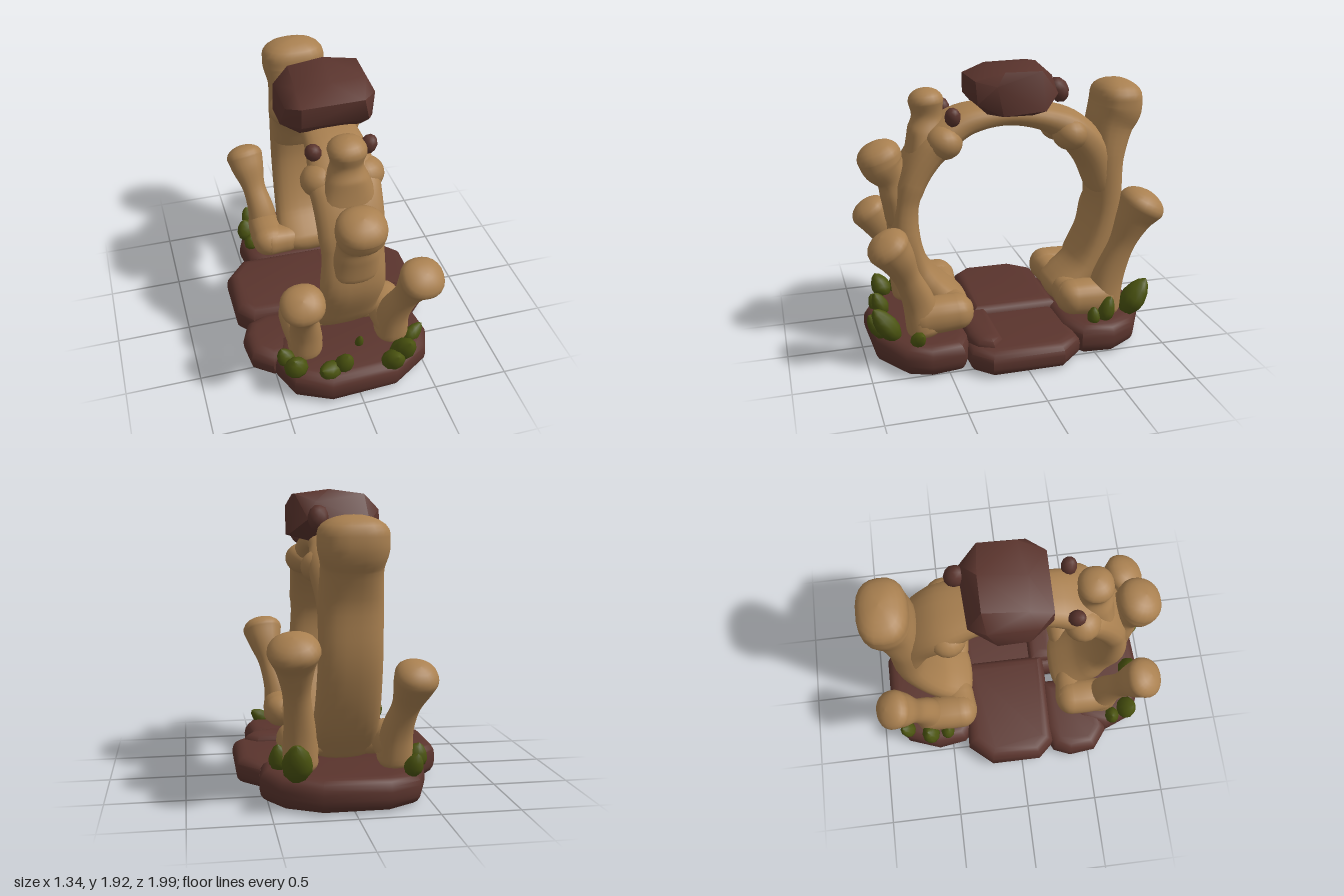
import * as THREE from 'three';
import { toCreasedNormals } from 'three/addons/utils/BufferGeometryUtils.js';
import { ConvexGeometry } from 'three/addons/geometries/ConvexGeometry.js';

const mat = (name, color) => Object.assign(new THREE.MeshStandardMaterial({ color }), { name });

// Sweep a rounded cross-section along stations [x, y, z, halfWidth, halfDepth], with domed ends.
function boneGeometry(stations, { ref = [1, 0, 0], square = 0.9, dome = 0.6, steps = 18, sides = 22 } = {}) {
  const path = new THREE.CatmullRomCurve3(stations.map(s => new THREE.Vector3(s[0], s[1], s[2])));
  const size = new THREE.CatmullRomCurve3(stations.map(s => new THREE.Vector3(s[3], s[4], 0)));
  const rings = [];
  const addRing = (t, offset, scale) => rings.push({ t, offset, scale });
  const capSteps = 6;
  for (let k = 0; k < capSteps; k++) {
    const a = (k / capSteps) * Math.PI / 2;
    addRing(0, -Math.cos(a), Math.sin(a));
  }
  for (let i = 0; i <= steps; i++) addRing(i / steps, 0, 1);
  for (let k = capSteps - 1; k >= 0; k--) {
    const a = (k / capSteps) * Math.PI / 2;
    addRing(1, Math.cos(a), Math.sin(a));
  }
  const pos = [], index = [], side = new THREE.Vector3(...ref);
  const soft = v => Math.sign(v) * Math.pow(Math.abs(v), square);
  for (const { t, offset, scale } of rings) {
    const c = path.getPoint(t), r = size.getPoint(t), tan = path.getTangent(t);
    const u = side.clone().addScaledVector(tan, -side.dot(tan)).normalize();
    const v = tan.clone().cross(u);
    c.addScaledVector(tan, offset * dome * (r.x + r.y) / 2);
    for (let j = 0; j < sides; j++) {
      const a = (j / sides) * Math.PI * 2;
      const p = c.clone().addScaledVector(u, soft(Math.cos(a)) * r.x * scale)
        .addScaledVector(v, soft(Math.sin(a)) * r.y * scale);
      pos.push(p.x, p.y, p.z);
    }
  }
  for (let i = 0; i < rings.length - 1; i++) {
    for (let j = 0; j < sides; j++) {
      const a = i * sides + j, b = i * sides + (j + 1) % sides;
      index.push(a, b, b + sides, a, b + sides, a + sides);
    }
  }
  const g = new THREE.BufferGeometry();
  g.setAttribute('position', new THREE.Float32BufferAttribute(pos, 3));
  g.setIndex(index);
  g.computeVertexNormals();
  return g;
}

// Rounded paving stone from an outline of [x, z] corners.
function slabGeometry(outline, bottom, top) {
  const shape = new THREE.Shape(outline.map(([x, z]) => new THREE.Vector2(x, -z)));
  const bevel = (top - bottom) * 0.4;
  const g = new THREE.ExtrudeGeometry(shape, {
    depth: top - bottom - 2 * bevel, bevelThickness: bevel, bevelSize: 0.08,
    bevelOffset: -0.08, bevelSegments: 4, steps: 1,
  });
  g.rotateX(-Math.PI / 2);
  g.translate(0, bottom + bevel, 0);
  return toCreasedNormals(g, 0.75);
}

export function createModel() {
  const bone = mat('bone', 0xa98050);
  const rock = mat('rock', 0x5a342d);
  const leaf = mat('leaf', 0x4b5410);
  const model = new THREE.Group();
  model.name = 'boneArch';
  const add = (name, geometry, material) => {
    const m = new THREE.Mesh(geometry, material);
    m.name = name;
    model.add(m);
    return m;
  };

  // Base stones
  const slabs = {
    frontSlab: [[[-0.3, 0.36], [0.38, 0.33], [0.53, 0.4], [0.56, 0.62], [0.5, 0.78], [0.25, 0.94], [-0.2, 0.96], [-0.43, 0.85], [-0.51, 0.65], [-0.45, 0.45]], 0.01, 0.22],
    backSlab: [[[-0.35, -0.3], [0.38, -0.3], [0.53, -0.4], [0.55, -0.62], [0.44, -0.8], [0.2, -0.93], [-0.22, -0.93], [-0.42, -0.82], [-0.5, -0.6], [-0.47, -0.4]], 0.01, 0.22],
    leftSlab: [[[-0.02, -0.36], [0.53, -0.38], [0.67, -0.23], [0.67, 0.25], [0.55, 0.37], [-0.02, 0.38]], 0.01, 0.19],
    rightSlab: [[[0.1, -0.37], [-0.53, -0.38], [-0.67, -0.22], [-0.67, 0.13], [-0.57, 0.24], [0.1, 0.25]], 0.01, 0.245],
    rightFrontSlab: [[[-0.1, 0.2], [-0.48, 0.18], [-0.62, 0.24], [-0.67, 0.36], [-0.65, 0.54], [-0.52, 0.64], [-0.1, 0.6]], 0.01, 0.21],
    smallSlab: [[[0.05, 0.14], [0.5, 0.14], [0.59, 0.22], [0.53, 0.32], [0.4, 0.36], [0.05, 0.36]], 0.08, 0.24],
  };
  for (const [name, [outline, bottom, top]] of Object.entries(slabs)) add(name, slabGeometry(outline, bottom, top), rock);

  // Main arch: front rib, crown running down into the back, and back rib
  const ringPoint = (deg, r, w, d) => {
    const a = deg * Math.PI / 180;
    return [0, 0.91 + r * Math.sin(a), r * Math.cos(a), w, d];
  };
  add('frontRib', boneGeometry([
    ringPoint(-58, 0.72, 0.23, 0.11), ringPoint(-35, 0.7, 0.21, 0.1), ringPoint(-8, 0.695, 0.21, 0.1),
    ringPoint(20, 0.695, 0.21, 0.1), ringPoint(42, 0.7, 0.22, 0.11), ringPoint(53, 0.69, 0.235, 0.105),
  ], { square: 0.75, steps: 30 }), bone);
  add('crown', boneGeometry([
    [0, 1.45, 0.46, 0.22, 0.11], [0, 1.56, 0.27, 0.19, 0.095], [0, 1.59, 0, 0.17, 0.075],
    [0, 1.55, -0.27, 0.19, 0.09], ringPoint(130, 0.715, 0.225, 0.12), ringPoint(150, 0.72, 0.2, 0.125), ringPoint(168, 0.71, 0.19, 0.1),
  ], { square: 0.8, steps: 32 }), bone);
  add('backRib', boneGeometry([
    [0, 0.32, -0.4, 0.23, 0.11], [0, 0.5, -0.57, 0.21, 0.1], [0, 0.88, -0.705, 0.2, 0.105],
    [0, 1.25, -0.71, 0.2, 0.12], [0, 1.47, -0.745, 0.19, 0.15], [0, 1.59, -0.785, 0.215, 0.165], [0, 1.67, -0.79, 0.215, 0.16],
  ], { square: 0.8, steps: 30, dome: 0.58 }), bone);

  // Knobs standing off the front rib
  add('frontHorn', boneGeometry([
    [0, 0.93, 0.715, 0.16, 0.09], [0, 1.08, 0.72, 0.15, 0.11], [0, 1.2, 0.745, 0.125, 0.11],
    [0, 1.3, 0.81, 0.155, 0.14], [0, 1.355, 0.83, 0.155, 0.145],
  ], { steps: 24, dome: 0.65 }), bone);
  add('upperHorn', boneGeometry([
    [0, 1.36, 0.57, 0.18, 0.09], [0, 1.5, 0.52, 0.14, 0.12], [0, 1.61, 0.51, 0.1, 0.1], [0, 1.7, 0.515, 0.12, 0.113],
  ], { steps: 22, dome: 0.7 }), bone);

  // Rounded joint bumps on both flanks of the arch
  for (const s of [-1, 1]) {
    for (const [z, y] of [[0.43, 1.45], [-0.42, 1.45]]) {
      const joint = add('jointBump', new THREE.SphereGeometry(1, 18, 12), bone);
      joint.scale.set(0.13, 0.11, 0.12);
      joint.position.set(s * 0.135, y, z);
    }
  }

  // Leaning side bones with heavy feet: side, end, knob height, knob x, knob z, knob radius
  const legs = [
    ['frontLeftBone', 1, 1, 0.88, 0.4, 0.85, 0.145],
    ['frontRightBone', -1, 1, 0.86, 0.37, 0.86, 0.14],
    ['backLeftBone', 1, -1, 0.99, 0.36, 0.855, 0.16],
    ['backRightBone', -1, -1, 0.82, 0.375, 0.855, 0.135],
  ];
  for (const [name, sx, sz, h, kx, kz, r] of legs) {
    const mix = f => 0.34 + (h - 0.34) * f;
    add(name, boneGeometry([
      [sx * 0.3, 0.27, sz * 0.62, 0.115, 0.12],
      [sx * 0.305, mix(0.2), sz * 0.655, 0.1, 0.105],
      [sx * (0.3 + kx) / 2, mix(0.55), sz * 0.73, 0.085, 0.085],
      [sx * kx * 0.97, mix(0.85), sz * (kz - 0.05), 0.12, 0.115],
      [sx * kx, h, sz * kz, r, r * 0.95],
    ], { steps: 22, dome: 0.65 }), bone);
    add(name + 'Foot', boneGeometry([
      [sx * 0.3, 0.345, sz * 0.4, 0.125, 0.115], [sx * 0.3, 0.34, sz * 0.5, 0.125, 0.12], [sx * 0.3, 0.33, sz * 0.63, 0.115, 0.12],
    ], { dome: 0.9 }), bone);
  }

  // Cross bones joining the feet
  for (const sz of [1, -1]) {
    add(sz > 0 ? 'frontCrossBone' : 'backCrossBone', boneGeometry([
      [-0.3, 0.345, sz * 0.41, 0.12, 0.11], [-0.16, 0.335, sz * 0.41, 0.105, 0.1],
      [0.16, 0.335, sz * 0.41, 0.105, 0.1], [0.3, 0.345, sz * 0.41, 0.12, 0.11],
    ], { ref: [0, 0, 1] }), bone);
  }

  // Boulder resting on the crown
  const boulder = [
    [-0.3, 1.66, 0.08], [-0.3, 1.65, -0.12], [-0.28, 1.8, 0.14], [-0.28, 1.8, -0.18], [-0.2, 1.89, 0.08],
    [-0.18, 1.9, -0.2], [0.05, 1.93, -0.2], [0.02, 1.91, 0.1], [0.26, 1.9, 0.06], [0.27, 1.9, -0.18],
    [0.3, 1.82, 0.12], [0.3, 1.63, 0.08], [0.3, 1.65, -0.2], [0.23, 1.7, 0.23], [-0.2, 1.7, 0.23],
    [-0.2, 1.83, 0.23], [0.2, 1.84, 0.235], [-0.2, 1.72, -0.29], [0.2, 1.74, -0.31], [0.15, 1.85, -0.28],
    [0.18, 1.6, -0.15], [-0.18, 1.61, -0.15], [0.2, 1.63, 0.16], [-0.2, 1.64, 0.18],
  ].map(p => new THREE.Vector3(...p));
  add('boulder', toCreasedNormals(new ConvexGeometry(boulder), 0.8), rock);

  // Small loose stones
  for (const [x, y, z, r, tilt] of [[-0.17, 1.62, 0.38, 0.058, 0.4], [0.18, 1.62, 0.38, 0.058, -0.4], [0.14, 1.75, -0.33, 0.075, 0.2]]) {
    const stone = add('smallStone', toCreasedNormals(new THREE.IcosahedronGeometry(r, 1), 0.8), rock);
    stone.position.set(x, y, z);
    stone.rotation.set(0.3, 0.5, tilt);
    stone.scale.set(0.9, 1.15, 0.9);
  }

  // Plump pointed leaves: base x, z, length, radius, lean in x and z
  const profile = [[0, 0], [0.6, 0.12], [0.95, 0.32], [1, 0.5], [0.8, 0.72], [0.45, 0.9], [0, 1]]
    .map(([r, y]) => new THREE.Vector2(r, y));
  const leafGeo = new THREE.LatheGeometry(profile, 10);
  const leaves = [
    [0.29, 0.79, 0.3, 0.085, 0.1, 0.65], [0.22, 0.84, 0.22, 0.08, 0.05, 0.8], [0.37, 0.71, 0.18, 0.055, 1.2, -0.4],
    [-0.39, 0.77, 0.2, 0.08, -0.2, 0.4], [-0.42, 0.7, 0.16, 0.06, -0.4, -0.1], [-0.11, 0.82, 0.2, 0.065, 0.15, 0.4],
    [-0.13, 0.82, 0.18, 0.075, -1.3, 0.8], [0.06, 0.66, 0.14, 0.03, 0, 0.3],
    [0.33, -0.76, 0.31, 0.095, 0.1, -0.6], [0.41, -0.58, 0.21, 0.065, 0.15, -0.25], [0.43, -0.51, 0.14, 0.05, 0.1, 0],
    [-0.41, -0.63, 0.19, 0.075, -0.2, -0.2], [-0.41, -0.53, 0.15, 0.058, -0.1, 0.1], [-0.36, -0.78, 0.18, 0.06, -0.2, -0.4],
  ];
  const up = new THREE.Vector3(0, 1, 0);
  for (const [x, z, length, r, lx, lz] of leaves) {
    const m = add('leaf', leafGeo, leaf);
    m.position.set(x, 0.18, z);
    m.quaternion.setFromUnitVectors(up, new THREE.Vector3(lx, 1, lz).normalize());
    m.scale.set(r, length, r * 0.85);
  }
  return model;
}
